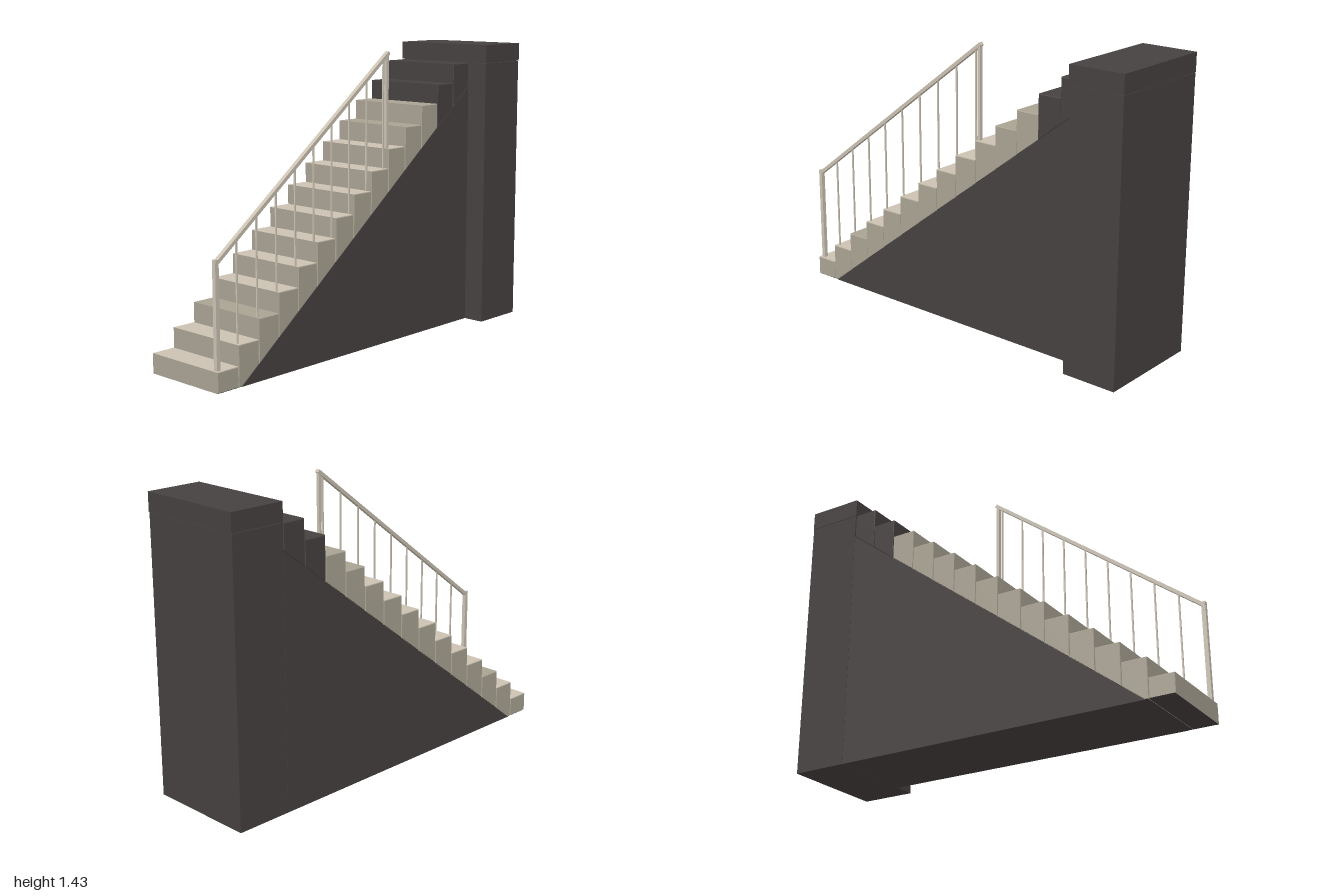
import * as THREE from 'three';

const mat = (name, color) => {
  const m = new THREE.MeshStandardMaterial({ color });
  m.name = name;
  return m;
};

const STEPS = 14, RUN = 1.72 / STEPS, RISE = 0.0953;
const LEFT = 0.165, RIGHT = -0.275, BEVEL = 0.003;
const slopeY = z => Math.max(0, (0.86 - z) * 0.769);

// Extrudes a side profile of [z, y] points across the width of the flight
function flightExtrude(points, bevel = 0) {
  const shape = new THREE.Shape(points.map(([z, y]) => new THREE.Vector2(z, y)));
  const geo = new THREE.ExtrudeGeometry(shape, {
    depth: LEFT - RIGHT - 2 * bevel, bevelEnabled: bevel > 0, bevelSegments: 1,
    bevelSize: bevel, bevelThickness: bevel, bevelOffset: -bevel,
  });
  return geo.rotateY(-Math.PI / 2).translate(LEFT - bevel, 0, 0);
}

// Regroups faces: 0 = body, 1 = tread on top, 2 = underside
function groupByFacing(geo) {
  const n = geo.attributes.normal;
  geo.clearGroups();
  for (let i = 0; i < n.count; i += 3) {
    const y = n.getY(i);
    geo.addGroup(i, 3, y > 0.95 ? 1 : y < -0.6 ? 2 : 0);
  }
  return geo;
}

export function createModel() {
  const stone = mat('grey stone', 0xa9a393);
  const cream = mat('light cream', 0xcbc2b3);
  const dark = mat('dark stone', 0x464140);
  const model = new THREE.Group();
  model.name = 'staircase';

  const add = (name, geo, material, parent = model) => {
    const mesh = new THREE.Mesh(geo, material);
    mesh.name = name;
    parent.add(mesh);
    return mesh;
  };
  const box = (name, x0, x1, y0, y1, z0, z1, material, parent) =>
    add(name, new THREE.BoxGeometry(x1 - x0, y1 - y0, z1 - z0)
      .translate((x0 + x1) / 2, (y0 + y1) / 2, (z0 + z1) / 2), material, parent);

  // Steps, each with a sloping underside
  const steps = new THREE.Group();
  steps.name = 'steps';
  model.add(steps);
  for (let i = 0; i < STEPS; i++) {
    const front = 1 - i * RUN, back = front - RUN + 0.002, top = (i + 1) * RISE;
    const points = [[front, slopeY(front)], [front, top], [back, top], [back, slopeY(back)]];
    if (i === 1) points.push([0.86, 0]);
    const body = i >= 12 ? dark : stone;
    const tread = i >= 12 ? dark : [2, 10, 11].includes(i) ? stone : cream;
    add('step' + (i + 1), groupByFacing(flightExtrude(points, BEVEL)), [body, tread, dark], steps);
  }

  // Solid wedge under the flight
  add('supportWedge', flightExtrude([[0.86, 0], [-0.72, slopeY(-0.72)], [-0.72, 0]]), dark);

  // Wall and landing at the top
  box('landingWall', RIGHT, 0.273, 0, 1.336, -0.998, -0.721, dark);
  box('landingSlab', RIGHT, 0.275, 1.338, 1.428, -1, -0.72, dark);

  // Railing along the left side
  const railing = new THREE.Group();
  railing.name = 'railing';
  model.add(railing);
  const X = 0.14;
  const railY = z => 0.567 + (0.98 - z) * 0.763;
  const upright = (name, z, y0, y1, w) =>
    box(name, X - w / 2, X + w / 2, y0, y1, z - w / 2, z + w / 2, cream, railing);

  upright('frontPost', 0.98, RISE, 0.583, 0.02);
  upright('backPost', -0.115, 10 * RISE, 1.405, 0.016);
  for (let i = 0; i < 9; i++) {
    const z = 0.86 - i * 0.119;
    const base = RISE * (Math.floor((1 - z) / RUN) + 1);
    upright('baluster' + (i + 1), z, base, railY(z), 0.007);
  }

  // Sloping handrail
  const zA = 0.985, zB = -0.125, dy = railY(zB) - railY(zA);
  const rail = add('handrail',
    new THREE.BoxGeometry(0.022, 0.017, Math.hypot(zA - zB, dy)), cream, railing);
  rail.position.set(X, (railY(zA) + railY(zB)) / 2, (zA + zB) / 2);
  rail.rotation.x = Math.atan2(dy, zA - zB);

  return model;
}
